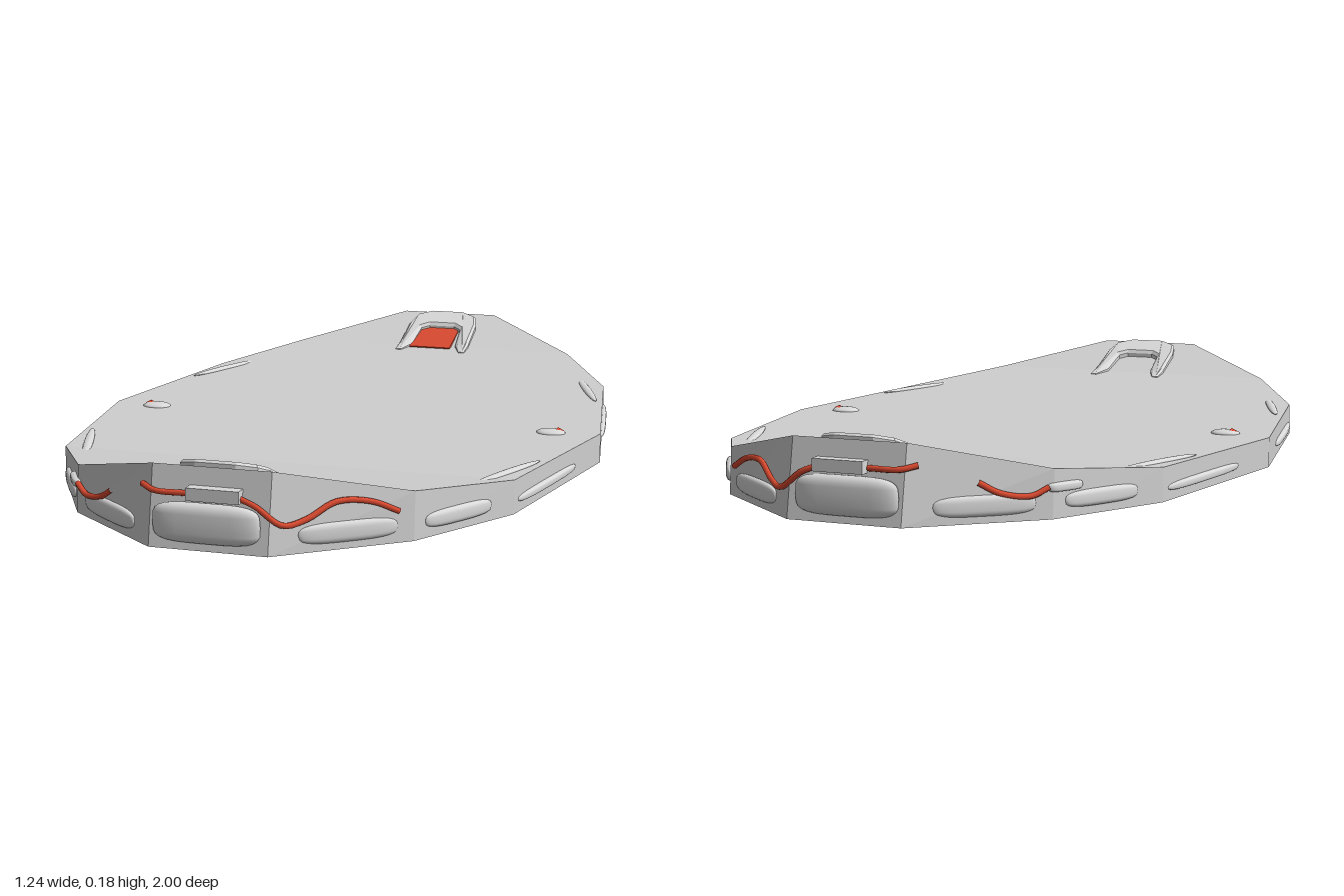
import * as THREE from 'three';

// hull stations for z >= 0: half width, z at deck, z at floor, deck height
const STATIONS = [
  [0.62, 0, 0, 0.07], [0.53, 0.515, 0.52, 0.076],
  [0.38, 0.775, 0.785, 0.105], [0.13, 0.955, 0.987, 0.17],
];

const mat = (name, color) => {
  const m = new THREE.MeshStandardMaterial({ color });
  m.name = name;
  return m;
};

// index of the facet that holds |x|
const facet = (x) => (x > 0.53 ? 0 : x > 0.38 ? 1 : x > 0.13 ? 2 : 3);

// z of the front hull skin at x, y
function skinZ(x, y) {
  const ax = Math.abs(x), i = facet(ax), a = STATIONS[Math.min(i, 3)];
  const b = STATIONS[Math.min(i + 1, 3)];
  const t = i === 3 ? 0 : (a[0] - ax) / (a[0] - b[0]);
  const l = (k) => a[k] + (b[k] - a[k]) * t;
  return l(2) + (l(1) - l(2)) * (y / l(3));
}

// outward heading of the skin at x on the front (s = 1) or back (s = -1)
function yaw(x, s) {
  const i = facet(Math.abs(x));
  if (i === 3) return s > 0 ? 0 : Math.PI;
  const a = STATIONS[i], b = STATIONS[i + 1];
  return Math.atan2(Math.sign(x) * (b[2] - a[2]), s * (a[0] - b[0]));
}

// height of the deck at z
function deckY(z) {
  const az = Math.abs(z);
  for (let i = 0; i < 3; i++) {
    const a = STATIONS[i], b = STATIONS[i + 1];
    if (az <= b[1] || i === 2) return a[3] + (b[3] - a[3]) * (az - a[1]) / (b[1] - a[1]);
  }
}

function hullGeometry() {
  const st = [
    ...STATIONS.slice(1).reverse().map(([w, t, b, h]) => [w, -t, -b, h]),
    ...STATIONS,
  ];
  const pos = [];
  const quad = (...p) => [0, 1, 2, 0, 2, 3].forEach((i) => pos.push(...p[i]));
  const T = (s, x) => [x * s[0], s[3], s[1]];
  const B = (s, x) => [x * s[0], 0, s[2]];
  for (let i = 0; i < st.length - 1; i++) {
    const a = st[i], b = st[i + 1];
    quad(T(a, -1), T(b, -1), T(b, 1), T(a, 1));
    quad(B(a, 1), B(b, 1), B(b, -1), B(a, -1));
    quad(B(b, 1), B(a, 1), T(a, 1), T(b, 1));
    quad(B(a, -1), B(b, -1), T(b, -1), T(a, -1));
  }
  const f = st[st.length - 1], r = st[0];
  quad(B(f, -1), B(f, 1), T(f, 1), T(f, -1));
  quad(B(r, 1), B(r, -1), T(r, -1), T(r, 1));
  const g = new THREE.BufferGeometry();
  g.setAttribute('position', new THREE.Float32BufferAttribute(pos, 3));
  g.computeVertexNormals();
  return g;
}

// smooth pillow: a sphere pushed towards a box
function pillow(w, h, d, power = 0.6) {
  const g = new THREE.SphereGeometry(1, 24, 14);
  const p = g.attributes.position;
  const f = (v) => Math.sign(v) * Math.abs(v) ** power;
  for (let i = 0; i < p.count; i++) {
    p.setXYZ(i, f(p.getX(i)) * w / 2, f(p.getY(i)) * h / 2, p.getZ(i) * d / 2);
  }
  g.computeVertexNormals();
  return g;
}

// raised U frame draped on the sloping deck, arms fading out
function frameGeometry(s) {
  const half = [[0.098, 0.73], [0.098, 0.775], [0.096, 0.87], [0.085, 0.915], [0.045, 0.937]];
  const inner = [[0.035, 0.865], [0.056, 0.85], [0.062, 0.775], [0.082, 0.73]];
  const pts = [...half, ...half.map(([x, z]) => [-x, z]).reverse()];
  const ins = [...inner.map(([x, z]) => [-x, z]).reverse(), ...inner];
  const outline = [...pts, ...ins].map(([x, z]) => new THREE.Vector2(x, z));
  const g = new THREE.ExtrudeGeometry(new THREE.Shape(outline), {
    depth: 0.01, bevelThickness: 0.007, bevelSize: 0.006, bevelOffset: -0.006, bevelSegments: 1,
  });
  const p = g.attributes.position;
  for (let i = 0; i < p.count; i++) {
    const z = p.getY(i), up = p.getZ(i);
    const fade = Math.min(1, 0.2 + (z - 0.73) / 0.1);
    // the turn keeps the face order right at both ends
    p.setXYZ(i, -s * p.getX(i), deckY(z) + up * fade, s * z);
  }
  g.computeVertexNormals();
  return g;
}

export function createModel() {
  const hullMat = mat('hullGrey', 0xcfcfcf);
  const trimMat = mat('paleGrey', 0xd9d9d9);
  const red = mat('red', 0xdb4a30);
  const model = new THREE.Group();
  const add = (name, geo, m, x = 0, y = 0, z = 0, ry = 0) => {
    const mesh = new THREE.Mesh(geo, m);
    mesh.name = name;
    mesh.position.set(x, y, z);
    mesh.rotation.y = ry;
    model.add(mesh);
    return mesh;
  };
  add('hull', hullGeometry(), hullMat);

  // cable runs as x, y points along the end skin
  const cables = [
    [[-0.15, 0.125], [-0.12, 0.117], [-0.05, 0.116]],
    [[0.06, 0.115], [0.1, 0.1], [0.15, 0.062], [0.19, 0.07], [0.24, 0.1], [0.3, 0.094], [0.35, 0.068]],
    [[-0.37, 0.068], [-0.34, 0.052], [-0.29, 0.06], [-0.25, 0.085]],
  ];
  // side pods: |x|, y, length, height, thickness
  const pods = [
    [0.265, 0.036, 0.22, 0.044, 0.022], [0.445, 0.035, 0.2, 0.036, 0.022],
    [0.563, 0.028, 0.34, 0.02, 0.02],
  ];

  for (const s of [1, -1]) {
    // end bumper and cable box
    add('endBumper', pillow(0.235, 0.085, 0.04, 0.5), trimMat, -0.005, 0.057, s * 0.98);
    add('cableBox', new THREE.BoxGeometry(0.115, 0.027, 0.03), trimMat, 0.012, 0.118, s * 0.974);
    add('sideCableBox', pillow(0.09, 0.02, 0.025, 0.5), trimMat,
      -0.395, 0.066, s * skinZ(-0.395, 0.066), yaw(-0.395, s));

    for (const run of cables) {
      const curve = new THREE.CatmullRomCurve3(run.map(([x, y]) => {
        const a = yaw(x, s);
        return new THREE.Vector3(x + Math.sin(a) * 0.007, y, s * skinZ(x, y) + Math.cos(a) * 0.007);
      }));
      add('cable', new THREE.TubeGeometry(curve, 32, 0.0065, 8), red);
    }

    for (const side of [1, -1]) {
      for (const [x, y, len, h, d] of pods) {
        add('sidePod', pillow(len, h, d), trimMat, side * x, y, s * skinZ(x, y), yaw(side * x, s));
      }
      // slim blisters along the deck edge
      add('deckBlister', pillow(0.022, 0.012, 0.28, 1), trimMat,
        side * 0.497, 0.076, s * 0.46, -side * s * 0.35);
    }
    add('deckFrame', frameGeometry(s), trimMat);
  }

  // red hatch inside the rear frame
  const hatch = add('rearHatch', new THREE.BoxGeometry(0.115, 0.008, 0.118), red, -0.008, 0.121, -0.815);
  hatch.rotation.x = Math.atan2(deckY(0.87) - deckY(0.76), 0.11);

  // deck nodules with a red marker on each side
  for (const side of [1, -1]) {
    add('deckNodule', pillow(0.07, 0.02, 0.055, 0.9), trimMat, side * 0.505, 0.07, 0.025);
    const tri = new THREE.ConeGeometry(0.015, 0.008, 3);
    add('noduleMarker', tri, red, side * 0.522, 0.08, 0.022, Math.PI / 2 * side);
  }
  return model;
}
